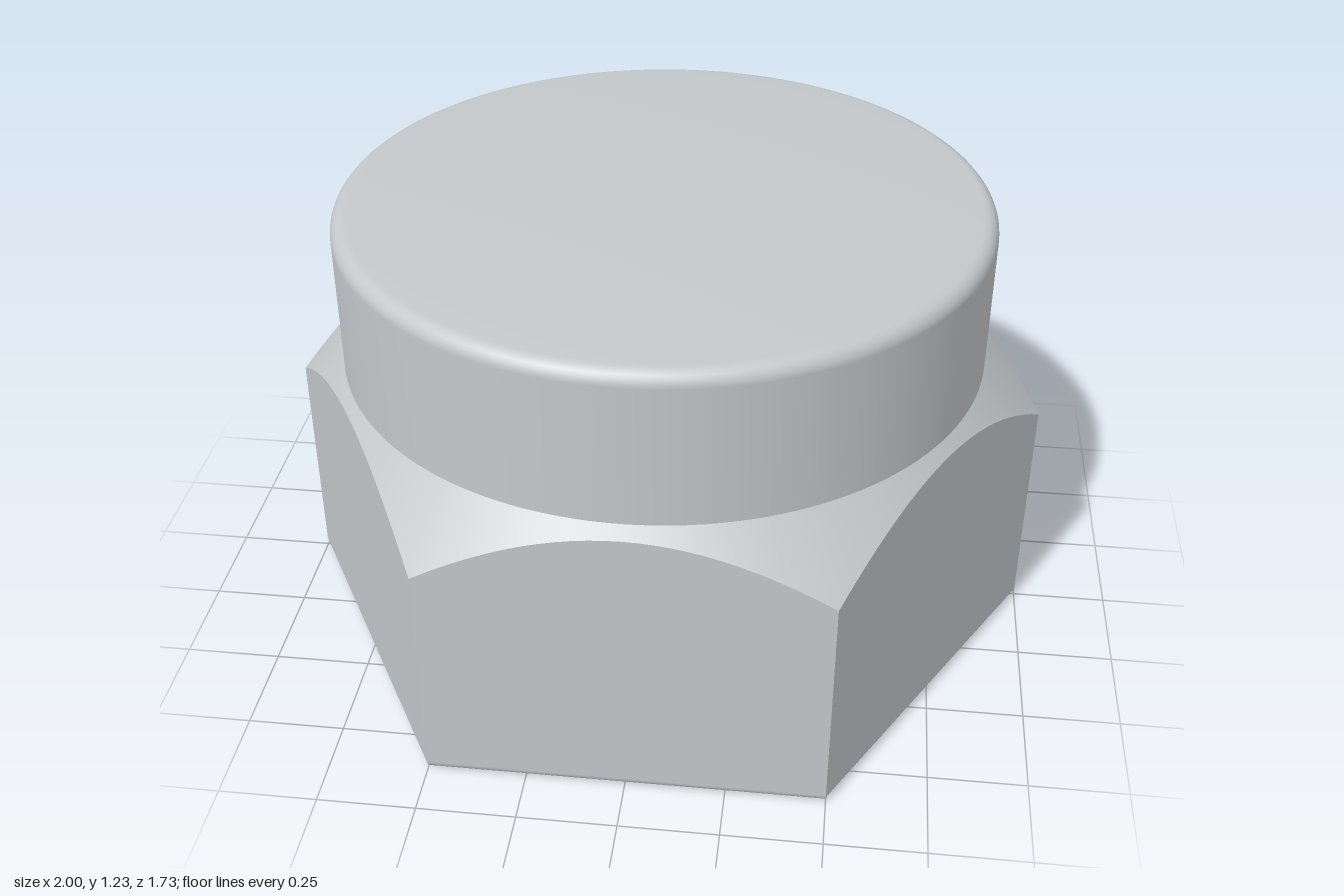
import * as THREE from 'three';
import { mergeVertices } from 'three/addons/utils/BufferGeometryUtils.js';

const SIXTH = Math.PI / 3;
const APOTHEM = Math.sqrt(3) / 2;
const NECK_R = 0.84, NECK_Y = 0.8, CORNER_Y = 0.615;

// Radius of the hexagon at an angle, and height of the conical chamfer at a radius
const hexRadius = (a) => APOTHEM / Math.cos((a % SIXTH) - SIXTH / 2);
const chamferY = (r) => NECK_Y - (r - NECK_R) * (NECK_Y - CORNER_Y) / (1 - NECK_R);

// Quarter-round from angle a0 to a1 as [radius, height] pairs
function arc(cx, cy, r, a0, a1, n = 6) {
  return Array.from({ length: n + 1 }, (_, i) => {
    const a = a0 + (a1 - a0) * i / n;
    return [cx + r * Math.cos(a), cy + r * Math.sin(a)];
  });
}

// Smooth surface from rings listed bottom to top; each ring maps angle to [radius, height]
function loft(rings, start, end, cols) {
  const pos = [], idx = [];
  for (const ring of rings) {
    for (let i = 0; i <= cols; i++) {
      const a = start + (end - start) * i / cols;
      const [r, y] = ring(a);
      pos.push(r * Math.cos(a), y, -r * Math.sin(a));
    }
  }
  for (let j = 0; j < rings.length - 1; j++) {
    for (let i = 0; i < cols; i++) {
      const p = j * (cols + 1) + i, q = p + cols + 1;
      idx.push(p, p + 1, q, p + 1, q + 1, q);
    }
  }
  const geo = new THREE.BufferGeometry();
  geo.setAttribute('position', new THREE.Float32BufferAttribute(pos, 3));
  geo.setIndex(idx);
  const merged = mergeVertices(geo, 1e-5);
  merged.computeVertexNormals();
  return merged;
}

export function createModel() {
  const group = new THREE.Group();
  const steel = new THREE.MeshStandardMaterial({ color: 0xc4c8cb });
  steel.name = 'steel grey';
  const add = (name, geo) => {
    const mesh = new THREE.Mesh(geo, steel);
    mesh.name = name;
    group.add(mesh);
  };

  // Six flats, each with its wedge of the base and a rounded lower edge
  const round = 0.025;
  const edge = arc(APOTHEM - round, round, round, -Math.PI / 2, 0);
  const flatRings = [
    () => [0, 0],
    ...edge.map(([d, y]) => (a) => [hexRadius(a) * d / APOTHEM, y]),
    (a) => [hexRadius(a), chamferY(hexRadius(a))],
  ];
  const flat = loft(flatRings, 0, SIXTH, 24);
  for (let k = 0; k < 6; k++) add(`hexSide${k + 1}`, flat.clone().rotateY(k * SIXTH));

  // Conical chamfer between the flats and the neck
  add('chamfer', loft([
    (a) => [hexRadius(a), chamferY(hexRadius(a))],
    () => [NECK_R, NECK_Y],
  ], 0, 2 * Math.PI, 144));

  // Round neck with a rounded rim and a shallow domed top
  const rim = 0.04, rimY = 1.205, domeH = 0.025;
  const profile = [[NECK_R, NECK_Y], ...arc(NECK_R - rim, rimY - rim, rim, 0, Math.PI / 2)];
  const domeR = NECK_R - rim;
  for (let i = 1; i <= 12; i++) {
    const r = domeR * (1 - i / 12);
    profile.push([r, rimY + domeH * (1 - (r / domeR) ** 2)]);
  }
  add('domedCap', loft(profile.map((p) => () => p), 0, 2 * Math.PI, 144));

  return group;
}
